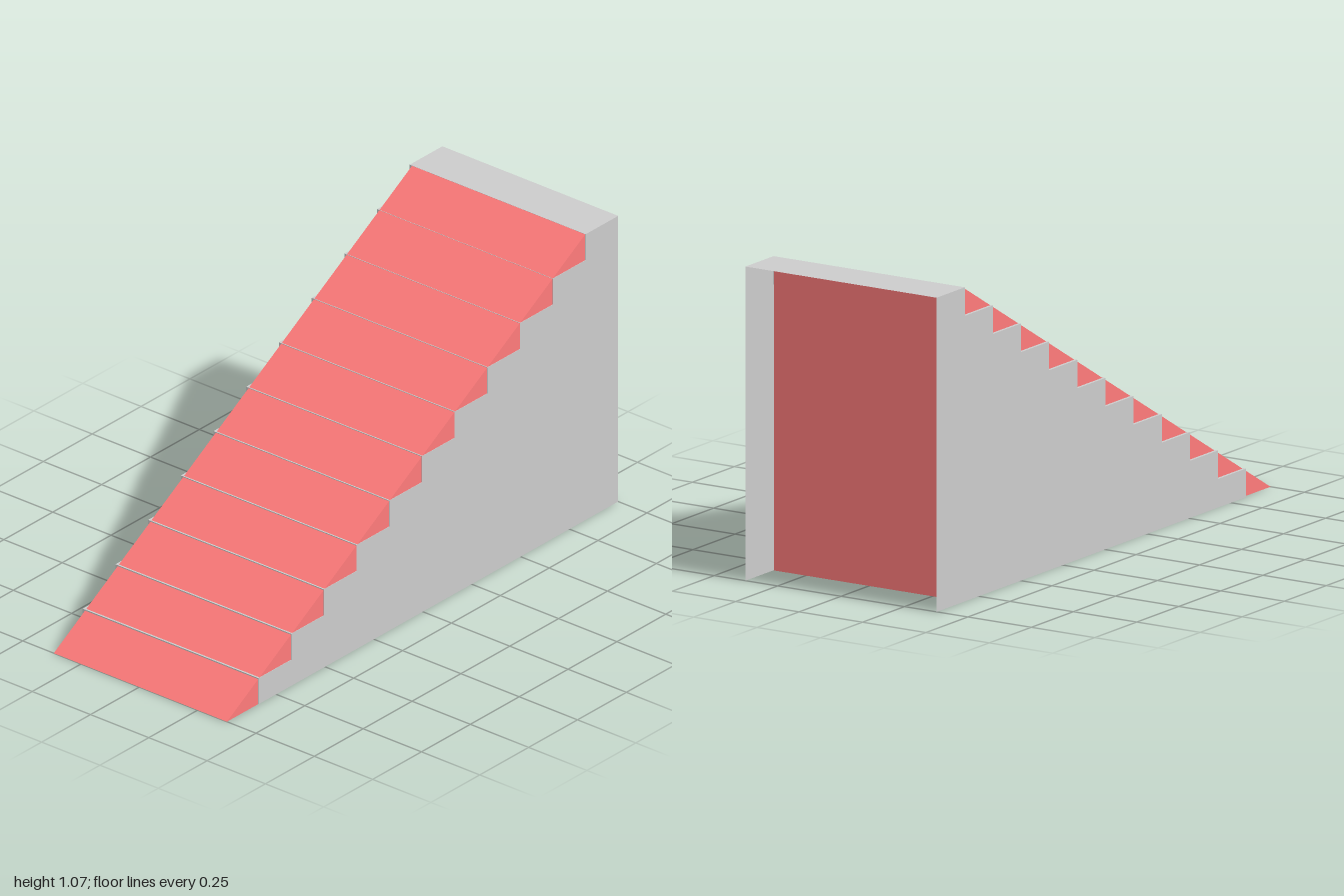
import * as THREE from 'three';

const STEPS = 11, HEIGHT = 1.065, FRONT = 0.84, BACK = -1;
const RISE = HEIGHT / STEPS, RUN = (FRONT - BACK) / STEPS;
const HALF = 0.377;

// Stair outline in (z, y), from the foot of the first riser to the back of the top tread
function stairPoints() {
  const pts = [];
  for (let i = 0; i < STEPS; i++) {
    const z = FRONT - i * RUN;
    pts.push([z, i * RISE], [z, (i + 1) * RISE]);
  }
  pts.push([BACK, HEIGHT]);
  return pts;
}

// Shape drawn in (-z, y), so that a quarter turn about y lays it in the side plane
function sideShape(points) {
  return new THREE.Shape(points.map(([z, y]) => new THREE.Vector2(-z, y)));
}

export function createModel() {
  const group = new THREE.Group();
  const grey = new THREE.MeshStandardMaterial({ color: 0xcccccc, side: THREE.DoubleSide, flatShading: true });
  const red = new THREE.MeshStandardMaterial({ color: 0xff7b7b, flatShading: true });

  const add = (name, geometry, material) => {
    const mesh = new THREE.Mesh(geometry, material);
    mesh.name = name;
    group.add(mesh);
    return mesh;
  };

  // Thin stepped side walls
  const outline = stairPoints();
  const wall = new THREE.ShapeGeometry(sideShape([...outline, [BACK, 0]]));
  wall.rotateY(Math.PI / 2);
  add('leftSideWall', wall, grey).position.x = HALF;
  add('rightSideWall', wall, grey).position.x = -HALF;

  // Thin risers and treads
  for (let i = 0; i < STEPS; i++) {
    const z = FRONT - i * RUN;
    const riser = add('riser', new THREE.PlaneGeometry(2 * HALF, RISE), grey);
    riser.position.set(0, (i + 0.5) * RISE, z);
    const tread = add('tread', new THREE.PlaneGeometry(2 * HALF, RUN).rotateX(-Math.PI / 2), grey);
    tread.position.set(0, (i + 1) * RISE, z - RUN / 2);
  }

  // Solid ramp wedge running through the steps, set in slightly on one side
  const rampBack = FRONT - (STEPS - 1) * RUN - 0.001;
  const x0 = -0.367, x1 = 0.3755;
  const ramp = new THREE.ExtrudeGeometry(
    sideShape([[1, 0], [rampBack, 0], [rampBack, HEIGHT]]),
    { depth: x1 - x0, bevelEnabled: false }
  );
  ramp.rotateY(Math.PI / 2);
  add('ramp', ramp, red).position.x = x0;

  return group;
}
